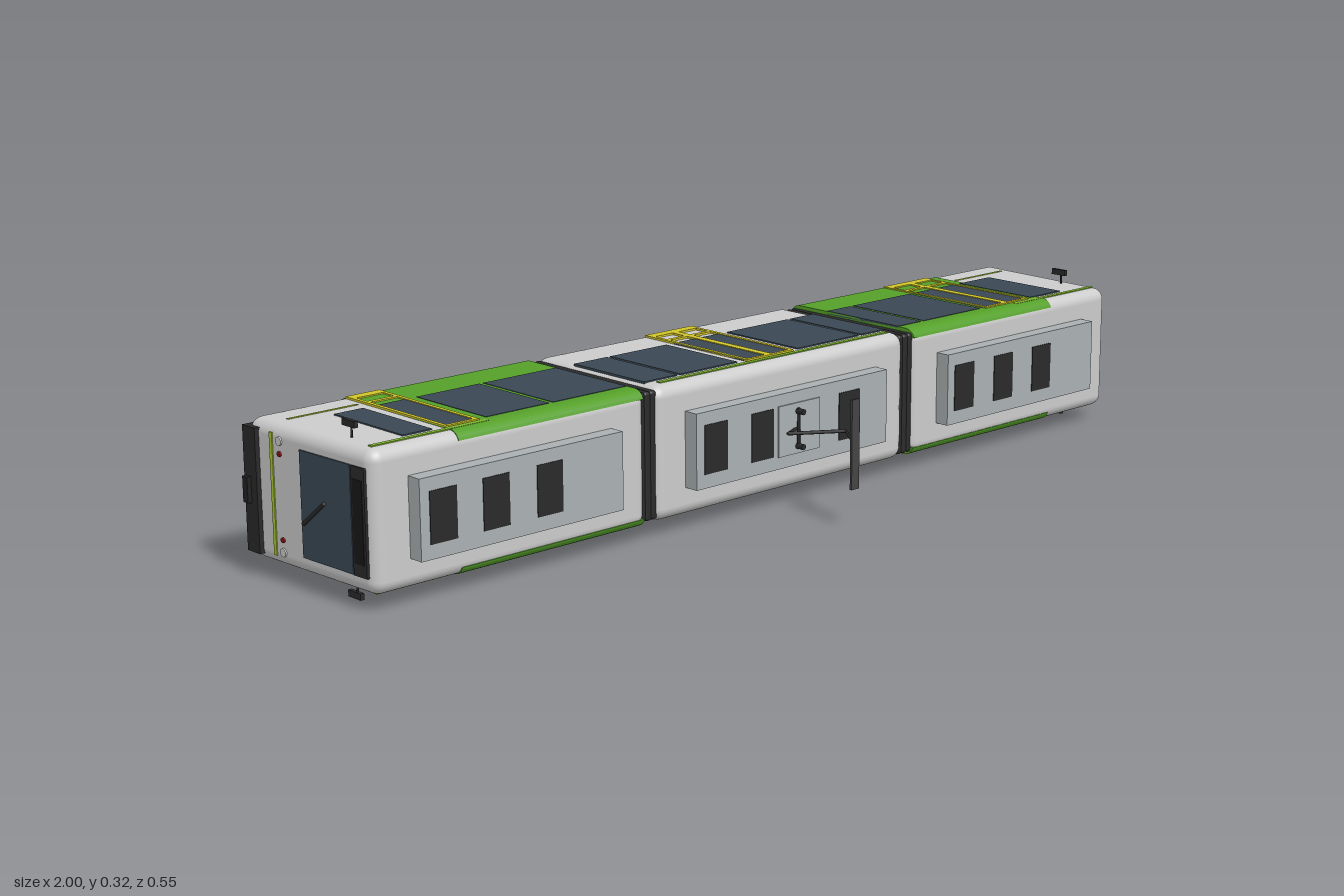
import * as THREE from 'three';
import { RoundedBoxGeometry } from 'three/addons/geometries/RoundedBoxGeometry.js';

// The tram lies on its side: x = length, y = width, +z = roof, -z = underside.
const C = 0.1595, HALF = 0.129, Z0 = -0.27, Z1 = 0.08, R = 0.024;
const mats = {};
const mat = (color) => (mats[color] ??= new THREE.MeshStandardMaterial({ color }));
const GREY = 0xcccccc, DARK = 0x2a2a2a, GLASS = 0x3a4854, GREEN = 0x55a02a,
  LIME = 0xa8c832, YELLOW = 0xd0c428, UNIT = 0xaab0b2;

function add(parent, name, geometry, color) {
  const mesh = new THREE.Mesh(geometry, mat(color));
  mesh.name = name;
  parent.add(mesh);
  return mesh;
}

// Box given by its extents
function box(parent, name, [x0, x1], [y0, y1], [z0, z1], color) {
  const m = add(parent, name, new THREE.BoxGeometry(x1 - x0, y1 - y0, z1 - z0), color);
  m.position.set((x0 + x1) / 2, (y0 + y1) / 2, (z0 + z1) / 2);
  return m;
}

// Straight round bar between two points
function bar(parent, name, a, b, r, color) {
  const p = new THREE.Vector3(...a), d = new THREE.Vector3(...b).sub(p);
  const m = add(parent, name, new THREE.CylinderGeometry(r, r, d.length(), 8), color);
  m.position.copy(p).addScaledVector(d, 0.5);
  m.quaternion.setFromUnitVectors(new THREE.Vector3(0, 1, 0), d.normalize());
  return m;
}

// Rounded car body; the cab end leans back towards the roof
function carBody(parent, x0, x1, cab) {
  const g = new RoundedBoxGeometry(x1 - x0, 2 * HALF, Z1 - Z0, 4, R);
  g.translate((x0 + x1) / 2, C, (Z0 + Z1) / 2);
  const p = g.attributes.position;
  for (let i = 0; i < p.count; i++) {
    const x = p.getX(i);
    if (cab && x * cab > 0.9) p.setX(i, x - cab * 0.015 * (p.getZ(i) - Z0) / (Z1 - Z0));
  }
  add(parent, 'carBody', g, GREY);
}

// Coloured shell that covers a side and wraps round its long edges
function sideShell(parent, s, x0, x1) {
  const pts = [], r = R + 0.0015;
  for (const [cz, from] of [[Z1 - R, 20], [Z0 + R, 90]]) {
    for (let i = 0; i <= 6; i++) {
      const a = THREE.MathUtils.degToRad(from + i * 70 / 6);
      pts.push(new THREE.Vector2(-(cz + r * Math.cos(a)), C + s * (HALF - R + r * Math.sin(a))));
    }
  }
  const g = new THREE.ExtrudeGeometry(new THREE.Shape(pts), { depth: x1 - x0, bevelEnabled: false });
  g.rotateY(Math.PI / 2).translate(x0, 0, 0);
  add(parent, 'greenSidePanel', g, GREEN);
}

// Flat panel on a side wall, standing out by the given height
function sidePanel(parent, name, s, xs, zs, height, color) {
  const a = C + s * (HALF - 0.004), b = C + s * (HALF + height);
  return box(parent, name, xs, [Math.min(a, b), Math.max(a, b)], zs, color);
}

// Door with one or more glazed leaves in a yellow frame
function door(parent, s, x0, x1, leaves) {
  const g = new THREE.Group();
  g.name = 'door';
  parent.add(g);
  const w = (x1 - x0) / leaves, t = 0.008;
  for (let i = 0; i < leaves; i++) {
    const a = x0 + i * w, b = a + w;
    sidePanel(g, 'doorGlass', s, [a, b], [-0.165, 0.035], 0.0025, GLASS);
    for (const x of [a, b - t]) sidePanel(g, 'doorPost', s, [x, x + t], [-0.25, 0.04], 0.004, YELLOW);
  }
  for (const [z0, z1] of [[-0.25, -0.228], [-0.195, -0.185], [0.034, 0.042]])
    sidePanel(g, 'doorRail', s, [x0, x1], [z0, z1], 0.004, YELLOW);
}

// Driver's end, built at +x around the centre line y = 0
function cab(parent, turn) {
  const g = new THREE.Group();
  g.name = 'cab';
  g.position.y = C;
  g.rotation.z = turn;
  parent.add(g);
  const face = new THREE.Group();
  face.name = 'cabFace';
  face.position.set(0.985, 0, Z0);
  face.rotation.y = -0.043;
  g.add(face);
  const panel = (name, ys, z0, z1, h, color) =>
    box(face, name, [-0.006, h], ys, [z0 - Z0, z1 - Z0], color);
  panel('destinationDisplay', [-0.097, 0.097], 0.028, 0.064, 0.004, DARK);
  panel('displayScreen', [-0.075, 0.075], 0.032, 0.058, 0.005, 0x181818);
  panel('windscreen', [-0.097, 0.097], -0.114, 0.025, 0.003, GLASS);
  panel('frontStripe', [-0.113, 0.11], -0.2, -0.192, 0.002, LIME);
  bar(face, 'wiper', [0.006, -0.015, -0.045 - Z0], [0.006, 0.033, -0.105 - Z0], 0.004, DARK);
  for (const s of [-1, 1]) {
    for (const [name, y, r, color] of [['tailLight', 0.078, 0.005, 0x8a1515], ['headLight', 0.101, 0.008, 0xdddddd]]) {
      const lamp = add(face, name, new THREE.CylinderGeometry(r, r, 0.006, 16), color);
      lamp.rotation.z = Math.PI / 2;
      lamp.position.set(0, s * y, -0.173 - Z0);
    }
    // Wing mirrors
    bar(g, 'mirrorArm', [0.936, s * 0.125, -0.02], [0.936, s * 0.15, -0.02], 0.002, DARK);
    const y = s * 0.1535;
    box(g, 'mirror', [0.932, 0.94], [y - 0.006, y + 0.006], [-0.043, -0.007], DARK);
  }
  box(g, 'bumper', [0.96, 0.992], [-0.115, 0.115], [-0.27, -0.232], DARK);
  box(g, 'coupler', [0.98, 1], [-0.024, 0.024], [-0.265, -0.25], 0x222222);
}

// Roof equipment box with dark vents
function roofUnit(parent, x0, x1, vents) {
  const g = new THREE.Group();
  g.name = 'roofUnit';
  parent.add(g);
  box(g, 'roofUnitCase', [x0, x1], [0.086, 0.233], [0.075, 0.111], UNIT);
  for (const x of vents) box(g, 'vent', [x, x + 0.058], [0.113, 0.208], [0.1, 0.1125], DARK);
}

function pantograph(parent) {
  const g = new THREE.Group();
  g.name = 'pantograph';
  parent.add(g);
  box(g, 'basePlate', [-0.05, 0.06], [0.11, 0.21], [0.105, 0.114], UNIT);
  for (const y of [0.125, 0.194]) bar(g, 'insulator', [0, y, 0.11], [0, y, 0.131], 0.006, DARK);
  bar(g, 'baseBar', [0, 0.12, 0.117], [0, 0.2, 0.117], 0.003, DARK);
  bar(g, 'baseLink', [0, C, 0.112], [-0.042, C, 0.13], 0.003, DARK);
  bar(g, 'lowerArm', [-0.042, C, 0.13], [0.052, C, 0.192], 0.0035, DARK);
  bar(g, 'upperArm', [0.052, C, 0.192], [-0.008, C, 0.272], 0.0025, DARK);
  box(g, 'contactStrip', [-0.018, 0.002], [0.073, 0.247], [0.271, 0.276], 0x444444);
}

export function createModel() {
  const tram = new THREE.Group();
  tram.name = 'tram';
  const cars = [
    { x: [-0.985, -0.355], cab: -1, green: [-0.785, -0.362], door: [-0.785, -0.71, 1],
      windows: [[-0.87, -0.808], [-0.69, -0.547], [-0.538, -0.365]], stripe: [-0.95, -0.7], line: [-0.945, -0.795],
      unit: [-0.895, -0.44], vents: [-0.875, -0.76, -0.64], wheels: [-0.65, -0.475] },
    { x: [-0.335, 0.335], cab: 0, door: [-0.065, 0.06, 2],
      windows: [[-0.32, -0.238], [-0.23, -0.085], [0.078, 0.247], [0.256, 0.32]], stripe: [-0.3, 0.31],
      unit: [-0.26, 0.25], vents: [-0.24, -0.12, 0.115], wheels: [] },
    { x: [0.355, 0.985], cab: 1, green: [0.362, 0.785], door: [0.62, 0.755, 2],
      windows: [[0.362, 0.43], [0.438, 0.61], [0.77, 0.865]], stripe: [0.7, 0.95], line: [0.795, 0.945],
      unit: [0.43, 0.885], vents: [0.45, 0.57, 0.69], wheels: [0.475, 0.65] },
  ];
  for (const c of cars) {
    const car = new THREE.Group();
    car.name = c.cab ? 'endCar' : 'middleCar';
    tram.add(car);
    carBody(car, ...c.x, c.cab);
    for (const s of [-1, 1]) {
      if (c.green) sideShell(car, s, ...c.green);
      for (const w of c.windows) sidePanel(car, 'window', s, w, [-0.165, 0.035], 0.0025, GLASS);
      door(car, s, ...c.door);
      sidePanel(car, 'roofStripe', s, c.stripe, [0.046, 0.056], 0.002, 0x7fb52e);
      if (c.line) sidePanel(car, 'lowerStripe', s, c.line, [-0.202, -0.196], 0.001, LIME);
      // Wheels barely show below the skirt
      for (const x of c.wheels)
        bar(car, 'wheel', [x, C + s * 0.071 - 0.007, -0.247], [x, C + s * 0.071 + 0.007, -0.247], 0.03, DARK).geometry =
          new THREE.CylinderGeometry(0.03, 0.03, 0.014, 32);
    }
    roofUnit(car, ...c.unit, c.vents);
    if (c.cab) cab(car, c.cab > 0 ? 0 : Math.PI);
  }
  // Bellows between the cars
  for (const x of [-0.345, 0.345])
    for (let i = -1; i <= 1; i++)
      add(tram, 'bellows', new RoundedBoxGeometry(0.016, 0.246, 0.336, 2, 0.006), DARK)
        .position.set(x + i * 0.014, C, (Z0 + Z1) / 2);
  pantograph(tram);
  return tram;
}
